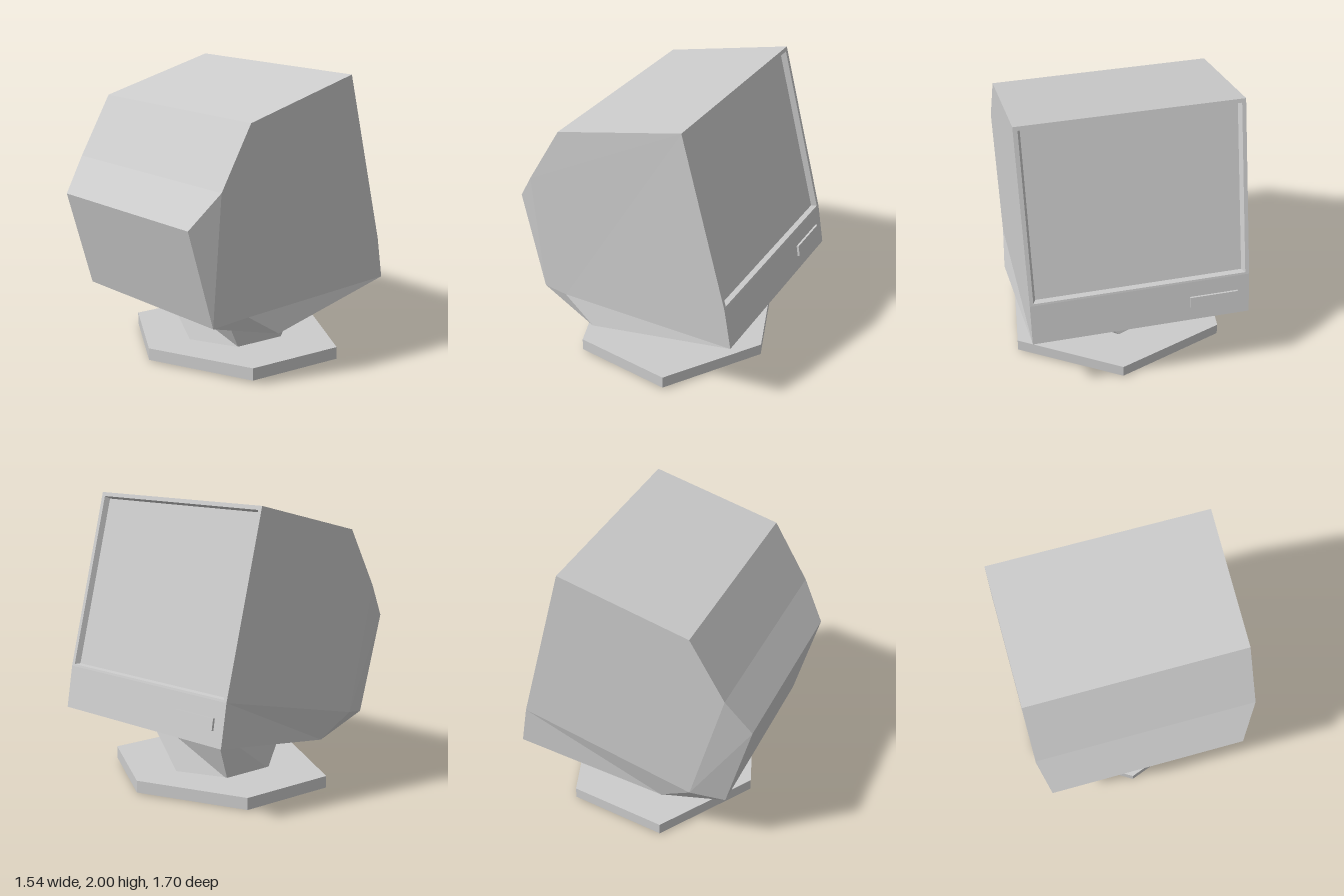
import * as THREE from 'three';

const plastic = new THREE.MeshStandardMaterial({ color: 0xcccccc });
plastic.name = 'light grey plastic';
plastic.flatShading = true;

// Flat polygons (corners counter-clockwise from outside) to a faceted mesh
function polyMesh(name, polys) {
  const pos = [];
  for (const p of polys)
    for (let i = 1; i < p.length - 1; i++) pos.push(...p[0], ...p[i], ...p[i + 1]);
  const g = new THREE.BufferGeometry();
  g.setAttribute('position', new THREE.Float32BufferAttribute(pos, 3));
  g.computeVertexNormals();
  const m = new THREE.Mesh(g, plastic);
  m.name = name;
  return m;
}

// Quads joining two closed loops
const band = (a, b) => a.map((p, i) => {
  const j = (i + 1) % a.length;
  return [p, a[j], b[j], b[i]];
});

export function createModel() {
  const group = new THREE.Group();
  group.name = 'monitor';

  // Casing profile: y, z, left x, right x
  const profile = {
    A: [2.0, -0.48, 0.735, -0.775],
    B: [1.78, 0.43, 0.735, -0.775],
    C: [1.37, 0.675, 0.735, -0.775],
    D: [1.13, 0.85, 0.615, -0.72],
    E: [0.45, 0.67, 0.645, -0.695],
    F: [0.34, 0.2, 0.765, -0.72],
    G: [0.51, -0.85, 0.73, -0.775],
    H: [0.8, -0.8, 0.73, -0.775],
    I: [0.5, 0.44, 0.73, -0.775],
  };
  const L = {}, R = {};
  for (const [k, [y, z, xl, xr]] of Object.entries(profile)) {
    L[k] = [xl, y, z];
    R[k] = [xr, y, z];
  }
  const casing = [];
  for (const side of ['ABCIH', 'CDEI', 'EFI', 'IFGH']) {
    casing.push([...side].map(k => L[k]));
    casing.push([...side].reverse().map(k => R[k]));
  }
  const ring = 'ABCDEFGH';
  for (let i = 0; i < ring.length - 1; i++) {
    const a = ring[i], b = ring[i + 1];
    casing.push([L[a], R[a], R[b], L[b]]);
  }
  group.add(polyMesh('casing', casing));

  // Screen frame, sloping recess and screen
  const onFace = (x, t, depth) =>
    [x, 0.8 + 1.2 * t - 0.258 * depth, -0.8 + 0.32 * t + 0.966 * depth];
  const loop = (xl, xr, t0, t1, d) =>
    [onFace(xl, t1, d), onFace(xl, t0, d), onFace(xr, t0, d), onFace(xr, t1, d)];
  const outer = [L.A, L.H, R.H, R.A];
  const opening = loop(0.705, -0.748, 0.012, 0.978, 0);
  const inner = loop(0.687, -0.73, 0.022, 0.97, 0.035);
  group.add(polyMesh('screenFrame', [...band(outer, opening), ...band(opening, inner)]));
  group.add(polyMesh('screen', [inner]));

  // Small control flap under the screen
  const flap = new THREE.Mesh(new THREE.BoxGeometry(0.335, 0.08, 0.022), plastic);
  flap.name = 'controlFlap';
  flap.position.set(-0.525, 0.65, -0.831);
  flap.rotation.x = 0.17;
  group.add(flap);

  // Hexagonal foot, slightly skewed, with a low pad beneath
  const hex = [[-0.09, 0.705], [0.68, 0.425], [0.77, -0.285],
    [0.09, -0.705], [-0.68, -0.425], [-0.765, 0.285]];
  const hexLoop = (sx, sz, y, tilt) =>
    hex.map(([x, z]) => [x * sx, y + tilt * (0.014 * x + 0.005 * z), z * sz - 0.075]);
  const top = hexLoop(1, 1, 0.095, 1);
  const under = hexLoop(1, 1, 0.01, 0.8);
  const padTop = hexLoop(0.42, 0.45, 0.012, 0);
  const pad = hexLoop(0.4, 0.43, 0, 0);
  group.add(polyMesh('foot', [top, ...band(under, top), [...under].reverse()]));
  group.add(polyMesh('footPad', [...band(pad, padTop), [...pad].reverse()]));

  // Neck: hexagon at the foot blending into a square under the casing
  const b = hexLoop(0.45, 0.53, 0.09, 1);
  const fl = [0.32, 0.385, 0.29], fr = [-0.31, 0.385, 0.29];
  const bl = [0.36, 0.46, -0.43], br = [-0.32, 0.46, -0.43];
  group.add(polyMesh('neck', [
    [fr, b[0], b[1], fl], [fl, b[1], b[2]], [fl, b[2], bl], [bl, b[2], b[3]],
    [bl, b[3], b[4], br], [br, b[4], b[5]], [br, b[5], fr], [fr, b[5], b[0]],
  ]));
  return group;
}
